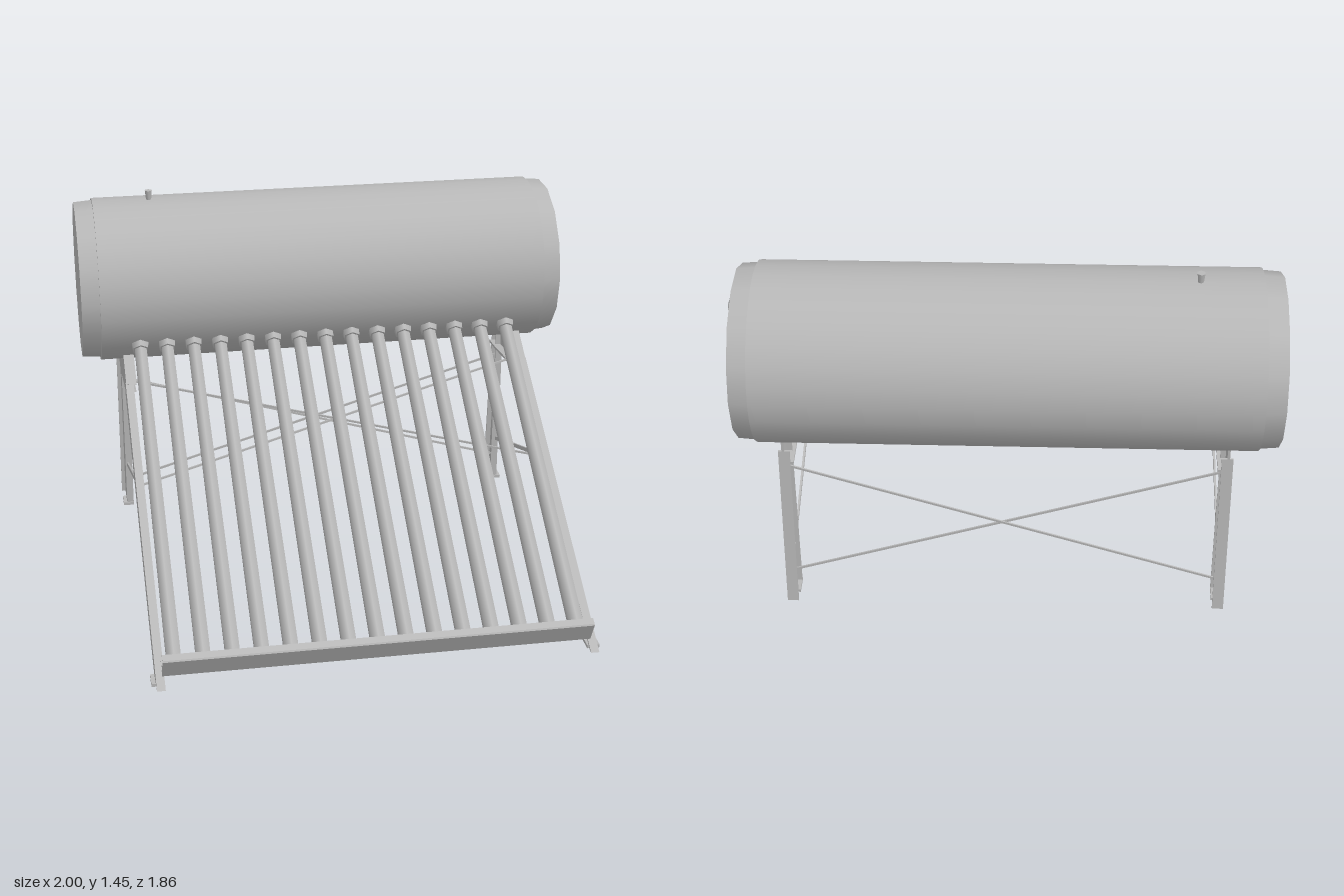
import * as THREE from 'three';

const TANK = { y: 1.077, z: -0.595, r: 0.334 };

export function createModel() {
  const model = new THREE.Group();
  const grey = new THREE.MeshStandardMaterial({ color: 0xb8b8b8 });
  grey.name = 'galvanised grey';
  grey.side = THREE.DoubleSide;

  const add = (name, geometry, parent = model) => {
    const mesh = new THREE.Mesh(geometry, grey);
    mesh.name = name;
    parent.add(mesh);
    return mesh;
  };

  // Box or cylinder running between two points
  const span = (name, a, b, makeGeometry, parent = model) => {
    const from = new THREE.Vector3(...a), to = new THREE.Vector3(...b);
    const mesh = add(name, makeGeometry(from.distanceTo(to)), parent);
    mesh.position.copy(from).lerp(to, 0.5);
    mesh.lookAt(to);
    return mesh;
  };
  const bar = (w, h) => (len) => new THREE.BoxGeometry(w, h, len);
  const rod = (r0, r1, sides) => (len) =>
    new THREE.CylinderGeometry(r1, r0, len, sides).rotateX(Math.PI / 2);

  // Side-on outline of [z, y] points given thickness from x0 to x1
  const plate = (name, points, x0, x1, parent) => {
    const shape = new THREE.Shape(points.map(([z, y]) => new THREE.Vector2(-z, y)));
    const geometry = new THREE.ExtrudeGeometry(shape, { depth: x1 - x0, bevelEnabled: false });
    return add(name, geometry.rotateY(Math.PI / 2).translate(x0, 0, 0), parent);
  };

  // Tank, turned along x: jacket and two slightly narrower end caps
  const tank = new THREE.Group();
  tank.name = 'tank';
  tank.position.set(0, TANK.y, TANK.z);
  model.add(tank);
  add('tankJacket', new THREE.CylinderGeometry(TANK.r, TANK.r, 1.82, 28)
    .rotateZ(Math.PI / 2).translate(-0.01, 0, 0), tank);
  const endCap = (name, x0, x1, bulge) => {
    const side = Math.sign(x1);
    const depth = Math.abs(x1 - x0);
    add(name, new THREE.CylinderGeometry(0.32, 0.327, depth, 14)
      .rotateZ(-side * Math.PI / 2).translate((x0 + x1) / 2, 0, 0), tank);
    add(name + 'Dish', new THREE.ConeGeometry(0.32, bulge, 14, 1, true)
      .rotateZ(-side * Math.PI / 2).translate(x1 + side * bulge / 2, 0, 0), tank);
  };
  endCap('rightCap', 0.88, 0.97, 0.01);
  endCap('leftCap', -0.9, -0.994, 0.006);

  // Water ports on one end
  for (const y of [1.265, 0.885]) {
    const port = new THREE.Group();
    port.name = 'waterPort';
    port.position.set(0.98, y, -0.585);
    model.add(port);
    add('portNut', new THREE.TorusGeometry(0.035, 0.014, 4, 6).rotateY(Math.PI / 2), port);
    add('portPipe', new THREE.CylinderGeometry(0.022, 0.022, 0.035, 6)
      .rotateZ(Math.PI / 2), port);
  }

  // Vent on top
  add('vent', new THREE.CylinderGeometry(0.016, 0.009, 0.06, 6))
    .position.set(-0.69, 1.417, -0.59);

  // Row of collector tubes with collars where they enter the tank
  for (let i = 0; i < 15; i++) {
    const x = -0.765 + i * 0.1085;
    const group = new THREE.Group();
    group.name = 'collectorTube';
    model.add(group);
    span('glassTube', [x, 0.108, 0.873], [x, 0.9, -0.37], rod(0.031, 0.027, 6), group);
    span('collar', [x, 0.862, -0.308], [x, 0.9, -0.368], rod(0.034, 0.044, 6), group);
  }

  // Bottom tray holding the tube ends
  plate('trayFloor', [[0.885, 0.05], [0.82, 0.088], [0.823, 0.094], [0.888, 0.057]], -0.81, 0.81);
  plate('trayFront', [[0.885, 0.05], [0.879, 0.053], [0.924, 0.136], [0.93, 0.132]], -0.81, 0.81);
  plate('trayLip', [[0.93, 0.132], [0.927, 0.138], [0.903, 0.15], [0.9, 0.144]], -0.81, 0.81);

  // Side frames, mirrored
  for (const s of [-1, 1]) {
    const frame = new THREE.Group();
    frame.name = s > 0 ? 'rightFrame' : 'leftFrame';
    model.add(frame);
    const slab = (name, points, inner, outer) =>
      plate(name, points, Math.min(s * inner, s * outer), Math.max(s * inner, s * outer), frame);

    // Sloping front leg: web with a flange on its upper edge
    slab('frontLegWeb', [[0.93, 0.015], [0.8, 0.015], [-0.32, 0.675], [-0.27, 0.74]], 0.826, 0.834);
    slab('frontLegFlange', [[0.93, 0.015], [0.915, 0.015], [-0.27, 0.732], [-0.27, 0.74]], 0.802, 0.834);
    slab('frontFoot', [[0.88, 0.006], [0.81, 0.006], [0.81, 0.018], [0.88, 0.018]], 0.802, 0.85);

    // Splayed rear leg: web with flanges on both edges
    slab('rearLegWeb', [[-0.642, 0.7], [-0.715, 0.7], [-0.79, 0.012], [-0.665, 0.012]], 0.822, 0.83);
    slab('rearLegFrontFlange', [[-0.642, 0.7], [-0.65, 0.7], [-0.673, 0.012], [-0.665, 0.012]], 0.802, 0.83);
    slab('rearLegBackFlange', [[-0.707, 0.7], [-0.715, 0.7], [-0.79, 0.012], [-0.782, 0.012]], 0.802, 0.845);
    slab('rearFoot', [[-0.66, 0], [-0.73, 0], [-0.73, 0.012], [-0.66, 0.012]], 0.802, 0.845);

    // Cradle under the tank: web, lower flange and saddle
    slab('cradleWeb', [[-0.26, 0.735], [-0.385, 0.815], [-0.47, 0.765], [-0.715, 0.765],
      [-0.715, 0.64], [-0.63, 0.645], [-0.31, 0.68]], 0.822, 0.832);
    slab('cradleFlange', [[-0.31, 0.68], [-0.315, 0.69], [-0.63, 0.655], [-0.715, 0.65],
      [-0.715, 0.64], [-0.63, 0.645]], 0.79, 0.832);
    slab('cradleSaddle', [[-0.26, 0.735], [-0.385, 0.815], [-0.47, 0.765], [-0.715, 0.765],
      [-0.715, 0.755], [-0.47, 0.755], [-0.385, 0.805], [-0.27, 0.73]], 0.79, 0.832);

    // Thin bracing: leg to leg, across the front legs, across the rear legs
    span('sideBrace', [s * 0.82, 0.465, 0.13], [s * 0.82, 0.18, -0.71], bar(0.008, 0.016), frame);
    span('frontCrossBrace', [-s * 0.82, 0.73, -0.32], [s * 0.82, 0.465, 0.13], bar(0.006, 0.008), frame);
    span('rearCrossBrace', [s * 0.82, 0.6, -0.67 - s * 0.005], [-s * 0.82, 0.1, -0.71 - s * 0.005],
      bar(0.006, 0.009), frame);
  }

  return model;
}
